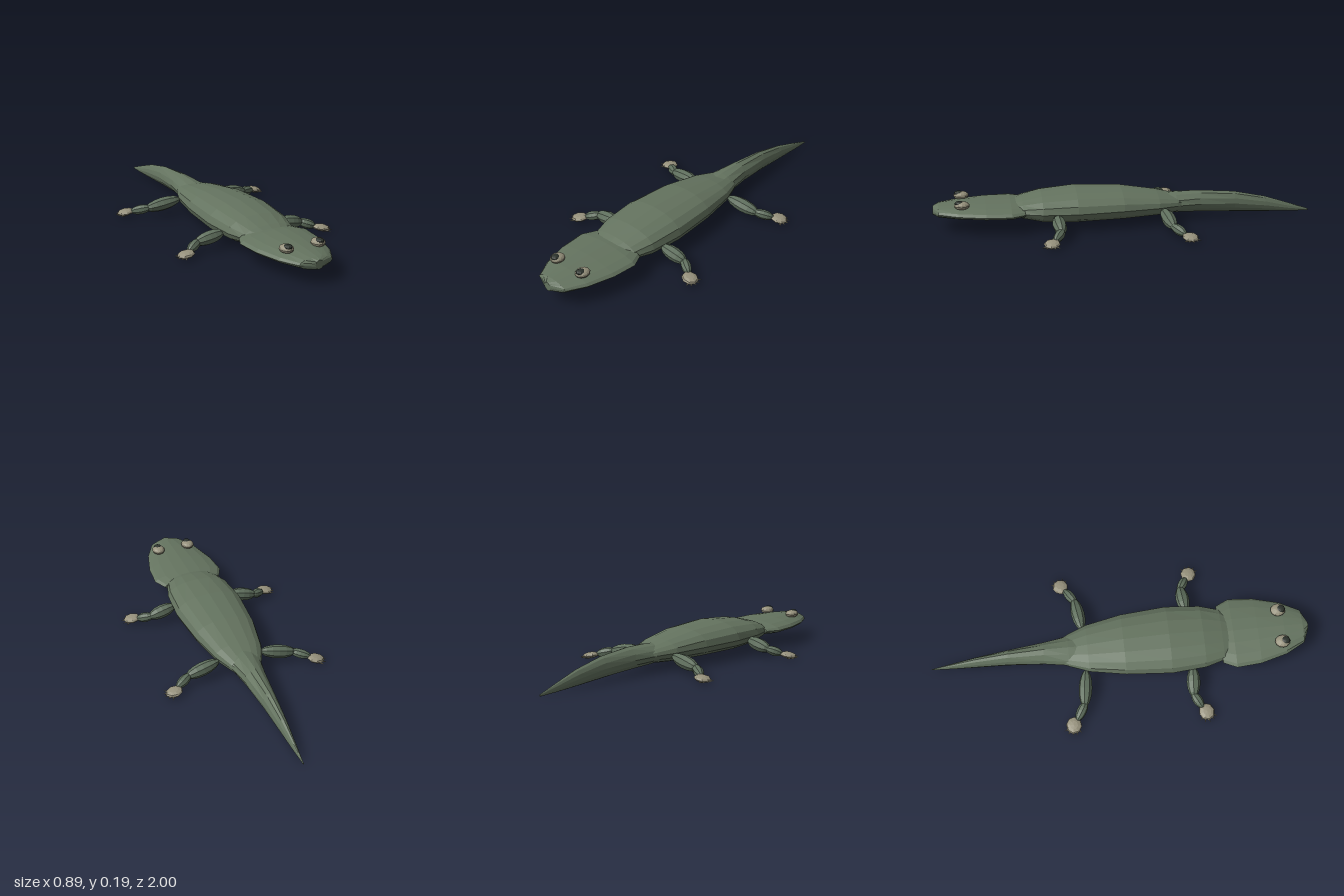
import * as THREE from 'three';

const mat = (color) => new THREE.MeshStandardMaterial({ color, flatShading: true });
const skin = mat(0x64735f), skinDark = mat(0x5f6f5d), pale = mat(0x96917c), dark = mat(0x2c322c);

// Loft from front to back along z, rows are [z, halfWidth, bottomY, middleY, topY]; power > 1 pinches the section
function loft(rows, power = 1, sides = 16) {
  const pos = [], idx = [];
  const pw = (v) => Math.sign(v) * Math.pow(Math.abs(v), power);
  for (const [z, w, bottom, mid, top] of rows) {
    for (let j = 0; j < sides; j++) {
      const a = (j / sides) * Math.PI * 2;
      const s = pw(Math.sin(a));
      pos.push(w * pw(Math.cos(a)), mid + s * (s > 0 ? top - mid : mid - bottom), z);
    }
  }
  for (let i = 0; i < rows.length - 1; i++) {
    for (let j = 0; j < sides; j++) {
      const k = (j + 1) % sides;
      const a = i * sides + j, d = i * sides + k;
      idx.push(a, a + sides, d, a + sides, d + sides, d);
    }
  }
  // end caps
  const last = rows.length - 1, front = pos.length / 3;
  pos.push(0, rows[0][3], rows[0][0], 0, rows[last][3], rows[last][0]);
  for (let j = 0; j < sides; j++) {
    const k = (j + 1) % sides;
    idx.push(front, j, k, front + 1, last * sides + k, last * sides + j);
  }
  const g = new THREE.BufferGeometry();
  g.setAttribute('position', new THREE.Float32BufferAttribute(pos, 3));
  g.setIndex(idx);
  g.computeVertexNormals();
  return g;
}

function add(parent, name, geometry, material) {
  const m = new THREE.Mesh(geometry, material);
  m.name = name;
  parent.add(m);
  return m;
}

// Muscle shape stretched between two points
function limb(parent, name, from, to, radius) {
  const a = new THREE.Vector3(...from), b = new THREE.Vector3(...to);
  const m = add(parent, name, new THREE.SphereGeometry(1, 8, 8), skinDark);
  m.position.copy(a).add(b).multiplyScalar(0.5);
  m.scale.set(radius, a.distanceTo(b) / 2, radius);
  m.quaternion.setFromUnitVectors(new THREE.Vector3(0, 1, 0), b.sub(a).normalize());
}

function leg(name, side, joints, yaw) {
  const g = new THREE.Group();
  g.name = name;
  const [root, elbow, wrist, palm] = joints.map(([x, y, z]) => [x * side, y, z]);
  const past = (p, q, t) => p.map((v, i) => v + (q[i] - v) * t);
  limb(g, 'upperLeg', past(elbow, root, 1.1), past(root, elbow, 1.1), 0.036);
  limb(g, 'lowerLeg', past(wrist, elbow, 1.2), past(elbow, wrist, 1.15), 0.026);
  // flat foot with a fan of pointed toes
  const foot = new THREE.Group();
  foot.name = 'foot';
  foot.position.set(...palm);
  foot.rotation.y = side > 0 ? yaw : Math.PI - yaw;
  g.add(foot);
  const pad = add(foot, 'pad', new THREE.SphereGeometry(1, 8, 6), pale);
  pad.scale.set(0.046, 0.016, 0.042);
  pad.position.y = 0.005;
  pad.rotation.z = -0.15;
  for (let i = -2; i <= 2; i++) {
    const angle = i * 0.46;
    const toe = add(foot, 'toe', new THREE.ConeGeometry(0.011, 0.046, 6).rotateZ(-Math.PI / 2), pale);
    toe.position.set(Math.cos(angle) * 0.033, -0.005, Math.sin(angle) * 0.036);
    toe.rotation.y = -angle;
  }
  return g;
}

export function createModel() {
  const model = new THREE.Group();
  model.name = 'salamander';

  add(model, 'body', loft([
    [0.60, 0.10, 0.075, 0.10, 0.13],
    [0.54, 0.143, 0.055, 0.10, 0.15],
    [0.44, 0.172, 0.033, 0.10, 0.175],
    [0.26, 0.186, 0.026, 0.10, 0.191],
    [0.02, 0.167, 0.028, 0.10, 0.181],
    [-0.17, 0.13, 0.034, 0.095, 0.152],
    [-0.27, 0.09, 0.042, 0.09, 0.13],
    [-0.36, 0.04, 0.06, 0.085, 0.11],
  ], 0.92), skin);

  add(model, 'tail', loft([
    [-0.16, 0.085, 0.045, 0.09, 0.135],
    [-0.27, 0.083, 0.034, 0.088, 0.143],
    [-0.40, 0.06, 0.028, 0.085, 0.146],
    [-0.59, 0.039, 0.019, 0.073, 0.131],
    [-0.76, 0.025, 0.011, 0.05, 0.095],
    [-0.89, 0.013, 0.006, 0.026, 0.052],
    [-1.00, 0.002, 0.004, 0.009, 0.014],
  ], 1.12, 12), skin);

  // wide flat head with a sharp lip line
  add(model, 'head', loft([
    [1.00, 0.022, 0.078, 0.101, 0.125],
    [0.97, 0.092, 0.07, 0.103, 0.134],
    [0.87, 0.145, 0.066, 0.103, 0.141],
    [0.73, 0.183, 0.062, 0.103, 0.144],
    [0.60, 0.193, 0.063, 0.103, 0.142],
    [0.53, 0.16, 0.07, 0.103, 0.135],
  ], 1.12), skin);

  for (const side of [1, -1]) {
    const label = side > 0 ? 'left' : 'right';
    const eye = new THREE.Group();
    eye.name = label + 'Eye';
    eye.position.set(side * 0.088, 0.147, 0.85);
    const ball = add(eye, 'eyeball', new THREE.SphereGeometry(1, 12, 8), pale);
    ball.scale.set(0.035, 0.021, 0.04);
    const pupil = add(eye, 'pupil', new THREE.SphereGeometry(1, 10, 8), dark);
    pupil.scale.set(0.022, 0.013, 0.025);
    pupil.position.set(0, 0.011, 0.012);
    model.add(eye);

    model.add(leg(label + 'FrontLeg', side,
      [[0.17, 0.08, 0.37], [0.30, 0.053, 0.36], [0.36, 0.033, 0.395], [0.392, 0.02, 0.418]], -0.2));
    model.add(leg(label + 'HindLeg', side,
      [[0.13, 0.078, -0.19], [0.29, 0.05, -0.212], [0.36, 0.033, -0.255], [0.392, 0.02, -0.28]], 0.2));
  }
  return model;
}
